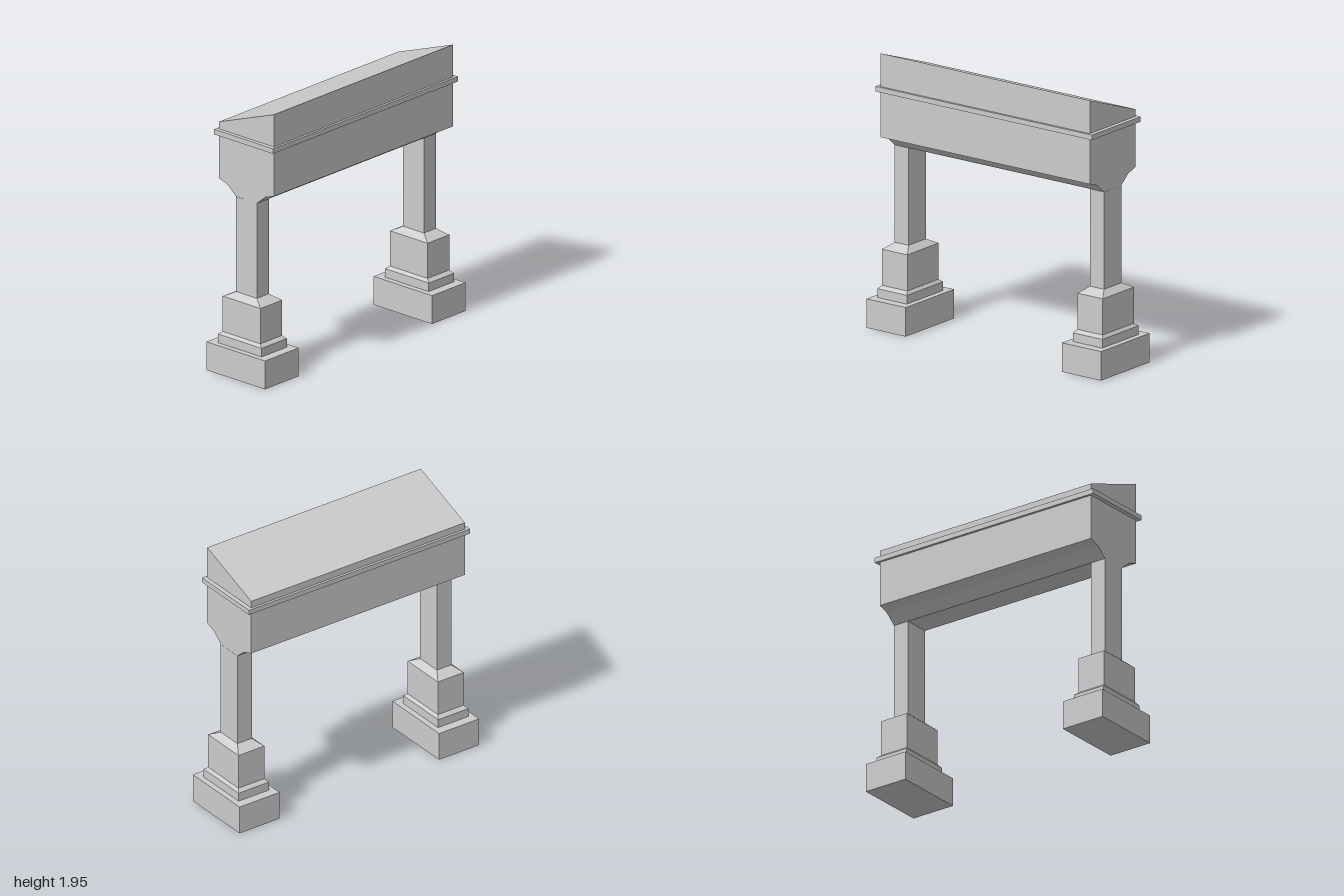
import * as THREE from 'three';

const material = new THREE.MeshStandardMaterial({ color: 0xcccccc, flatShading: true });

// Solid from stacked rectangular sections [y, halfWidth, halfDepth], closed at the bottom and top
function stackedSections(sections) {
  const positions = [];
  const rings = sections.map(([y, w, d]) => [[-w, y, d], [w, y, d], [w, y, -d], [-w, y, -d]]);
  const quad = (a, b, c, d) => positions.push(...a, ...b, ...c, ...a, ...c, ...d);
  for (let i = 0; i < rings.length - 1; i++) {
    for (let j = 0; j < 4; j++) {
      const k = (j + 1) % 4;
      quad(rings[i][j], rings[i][k], rings[i + 1][k], rings[i + 1][j]);
    }
  }
  const bottom = rings[0], top = rings[rings.length - 1];
  quad(bottom[3], bottom[2], bottom[1], bottom[0]);
  quad(top[0], top[1], top[2], top[3]);
  const geometry = new THREE.BufferGeometry();
  geometry.setAttribute('position', new THREE.Float32BufferAttribute(positions, 3));
  geometry.computeVertexNormals();
  return geometry;
}

function addMesh(parent, name, geometry) {
  const mesh = new THREE.Mesh(geometry, material);
  mesh.name = name;
  parent.add(mesh);
  return mesh;
}

export function createModel() {
  const model = new THREE.Group();
  model.name = 'postAndBeamFrame';

  // Two legs, each a footing, a stepped pedestal and a slim post
  const footing = stackedSections([[0, 0.167, 0.268], [0.205, 0.167, 0.268]]);
  const pedestal = stackedSections([
    [0.205, 0.126, 0.2], [0.267, 0.126, 0.2],
    [0.288, 0.108, 0.173], [0.543, 0.108, 0.173],
    [0.583, 0.06, 0.096],
  ]);
  const post = stackedSections([[0.583, 0.06, 0.096], [1.27, 0.06, 0.096]]);
  for (const side of [1, -1]) {
    const leg = new THREE.Group();
    leg.name = side > 0 ? 'leftLeg' : 'rightLeg';
    leg.position.x = side * 0.833;
    addMesh(leg, 'footing', footing);
    addMesh(leg, 'pedestal', pedestal);
    addMesh(leg, 'post', post);
    model.add(leg);
  }

  // Beam: end profile with corbelled underside and sloping top, drawn as (-z, y)
  const profile = new THREE.Shape([
    [-0.096, 1.27], [0.096, 1.27], [0.173, 1.335], [0.252, 1.362], [0.252, 1.77],
    [-0.252, 1.953], [-0.252, 1.362], [-0.173, 1.335],
  ].map(([x, y]) => new THREE.Vector2(x, y)));
  const beam = new THREE.ExtrudeGeometry(profile, { depth: 1.784, bevelEnabled: false });
  beam.translate(0, 0, -0.892).rotateY(Math.PI / 2);
  addMesh(model, 'beam', beam);

  // Moulding around the beam
  addMesh(model, 'moulding', new THREE.BoxGeometry(1.846, 0.036, 0.54)).position.y = 1.701;

  return model;
}
